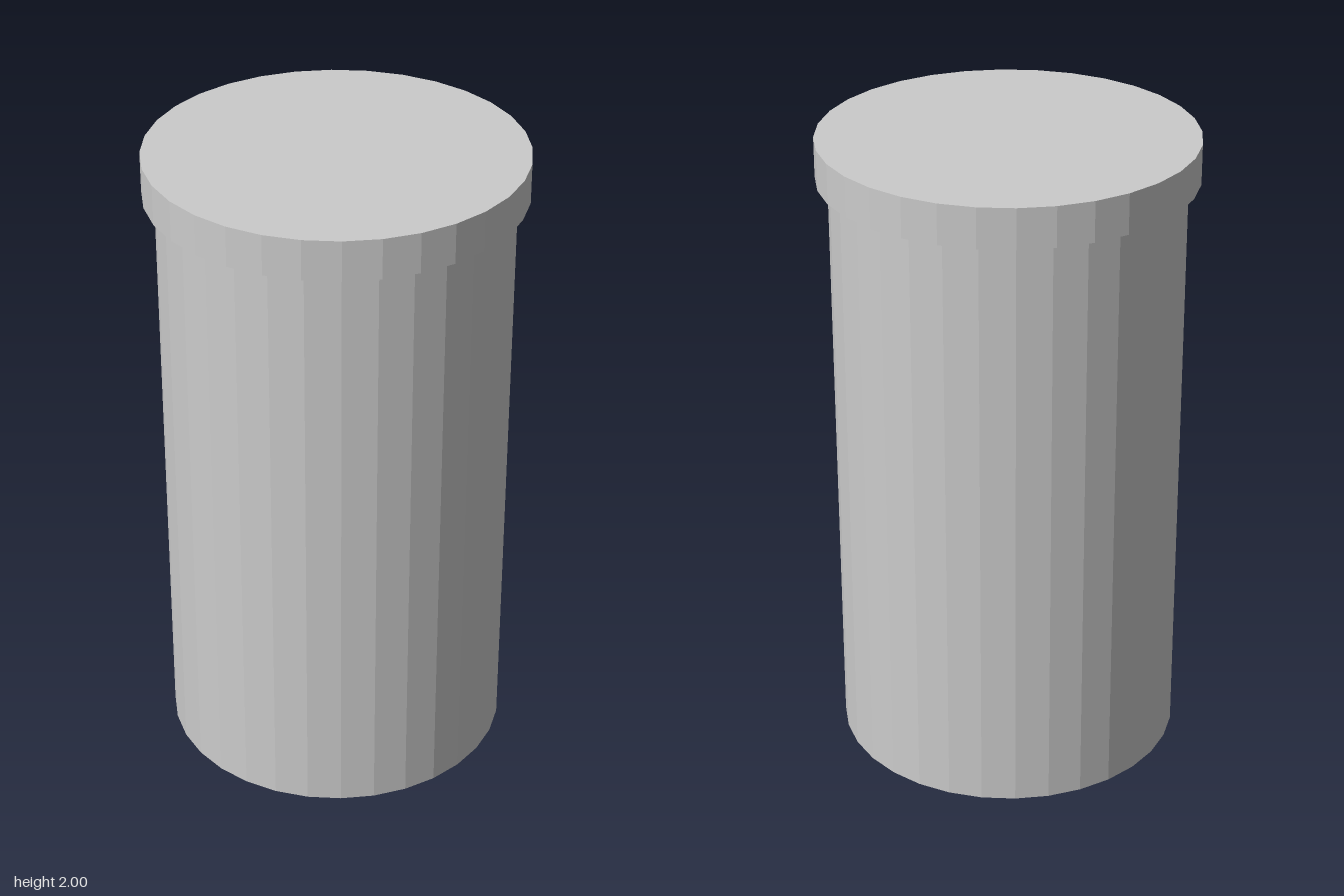
import * as THREE from 'three';

const SIDES = 32;

export function createModel() {
  const group = new THREE.Group();
  group.name = 'liddedCanister';
  const material = new THREE.MeshStandardMaterial({ color: 0xcccccc, flatShading: true });

  // Closed upright cylinder from height y0 to y1
  function addCylinder(name, radius, y0, y1) {
    const mesh = new THREE.Mesh(new THREE.CylinderGeometry(radius, radius, y1 - y0, SIDES), material);
    mesh.name = name;
    mesh.position.y = (y0 + y1) / 2;
    group.add(mesh);
  }

  addCylinder('body', 0.537, 0, 1.875);
  // Wider flat lid overhanging the body
  addCylinder('lid', 0.574, 1.875, 2);

  return group;
}
